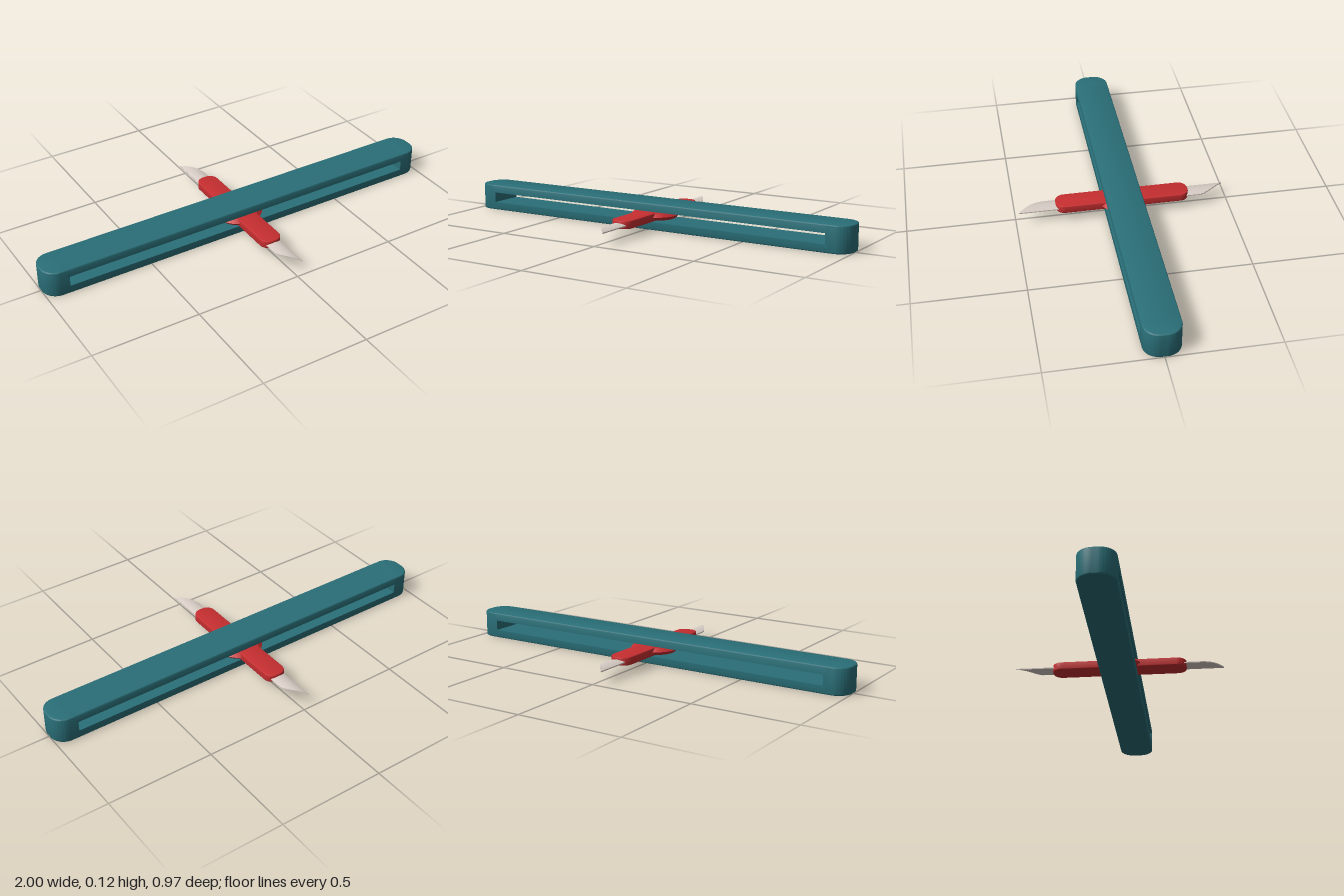
import * as THREE from 'three';
import { toCreasedNormals } from 'three/addons/utils/BufferGeometryUtils.js';

const teal = new THREE.MeshStandardMaterial({ color: 0x2a6f78 });
const red = new THREE.MeshStandardMaterial({ color: 0xc62e30 });
const steel = new THREE.MeshStandardMaterial({ color: 0xd6cbc4 });

const MID = 0.0625; // height of the slider's middle plane

function mesh(name, geometry, material) {
  const m = new THREE.Mesh(geometry, material);
  m.name = name;
  return m;
}

// Rectangle with a separate radius for its right and left corners
function roundedRect(x0, y0, x1, y1, right, left = right) {
  const s = new THREE.Shape();
  s.moveTo(x0 + left, y0);
  s.lineTo(x1 - right, y0);
  if (right) s.absarc(x1 - right, y0 + right, right, -Math.PI / 2, 0);
  s.lineTo(x1, y1 - right);
  if (right) s.absarc(x1 - right, y1 - right, right, 0, Math.PI / 2);
  s.lineTo(x0 + left, y1);
  if (left) s.absarc(x0 + left, y1 - left, left, Math.PI / 2, Math.PI);
  s.lineTo(x0, y0 + left);
  if (left) s.absarc(x0 + left, y0 + left, left, Math.PI, Math.PI * 1.5);
  return s;
}

// Plan outline raised from y0 to y1 with softened edges
function slab(shape, y0, y1, bevel) {
  const g = new THREE.ExtrudeGeometry(shape, {
    depth: y1 - y0 - 2 * bevel, bevelEnabled: true, bevelThickness: bevel,
    bevelSize: bevel, bevelOffset: -bevel, bevelSegments: 3, curveSegments: 12,
  });
  g.rotateX(-Math.PI / 2).translate(0, y0 + bevel, 0);
  return toCreasedNormals(g, 0.6);
}

// Long rail whose two outer edges are rounded
function rail(length) {
  const r = 0.006, w = 0.083, h = 0.038;
  const s = new THREE.Shape();
  s.moveTo(-w, 0);
  s.lineTo(w, 0);
  s.lineTo(w, h - r);
  s.absarc(w - r, h - r, r, 0, Math.PI / 2);
  s.lineTo(-w + r, h);
  s.absarc(-w + r, h - r, r, Math.PI / 2, Math.PI);
  const g = new THREE.ExtrudeGeometry(s, { depth: length, bevelEnabled: false, curveSegments: 3 });
  g.translate(0, 0, -length / 2).rotateY(Math.PI / 2);
  return toCreasedNormals(g, 0.6);
}

// Arched blade with one straight side and a curved edge running to the tip
function blade() {
  const half = 0.036;
  const g = new THREE.BoxGeometry(2 * half, 0.005, 1, 16, 1, 1);
  const p = g.attributes.position;
  for (let i = 0; i < p.count; i++) {
    const x = p.getX(i), t = Math.max(0, (x + half) / (2 * half));
    p.setY(i, p.getY(i) + MID - 0.003 + 0.008 * (1 - (x / half) ** 2));
    p.setZ(i, p.getZ(i) > 0 ? 0.37 + 0.115 * t ** 0.7 : 0.27);
  }
  g.computeVertexNormals();
  return g;
}

export function createModel() {
  const model = new THREE.Group();

  // Slotted body: two rails joined by round-cornered end blocks
  const body = new THREE.Group();
  body.name = 'slottedBody';
  const lower = mesh('lowerRail', rail(1.815), teal);
  lower.rotation.x = Math.PI;
  lower.position.y = 0.038;
  const upper = mesh('upperRail', rail(1.815), teal);
  upper.position.y = 0.086;
  body.add(lower, upper);
  const endShape = roundedRect(0.895, -0.083, 1, 0.083, 0.07, 0);
  for (const turn of [0, Math.PI]) {
    const end = mesh('endBlock', slab(endShape, 0, 0.124, 0.006), teal);
    end.rotation.y = turn;
    body.add(end);
  }
  model.add(body);

  // Slider: handle bar across the slot with a pointed-rim hub
  const slider = new THREE.Group();
  slider.name = 'slider';
  slider.add(mesh('handleBar', slab(roundedRect(-0.05, -0.312, 0.05, 0.312, 0.042), 0.044, 0.081, 0.004), red));
  const rim = [[0, 0.046], [0.096, 0.046], [0.112, MID], [0.096, 0.079], [0, 0.079]];
  const hub = new THREE.LatheGeometry(rim.map(([x, y]) => new THREE.Vector2(x, y)), 40);
  slider.add(mesh('hub', toCreasedNormals(hub, 0.5), red));

  // A blade at each end, turned half a revolution from one another
  for (const turn of [0, Math.PI]) {
    const b = mesh('blade', blade(), steel);
    b.rotation.y = turn;
    slider.add(b);
  }
  model.add(slider);
  return model;
}
